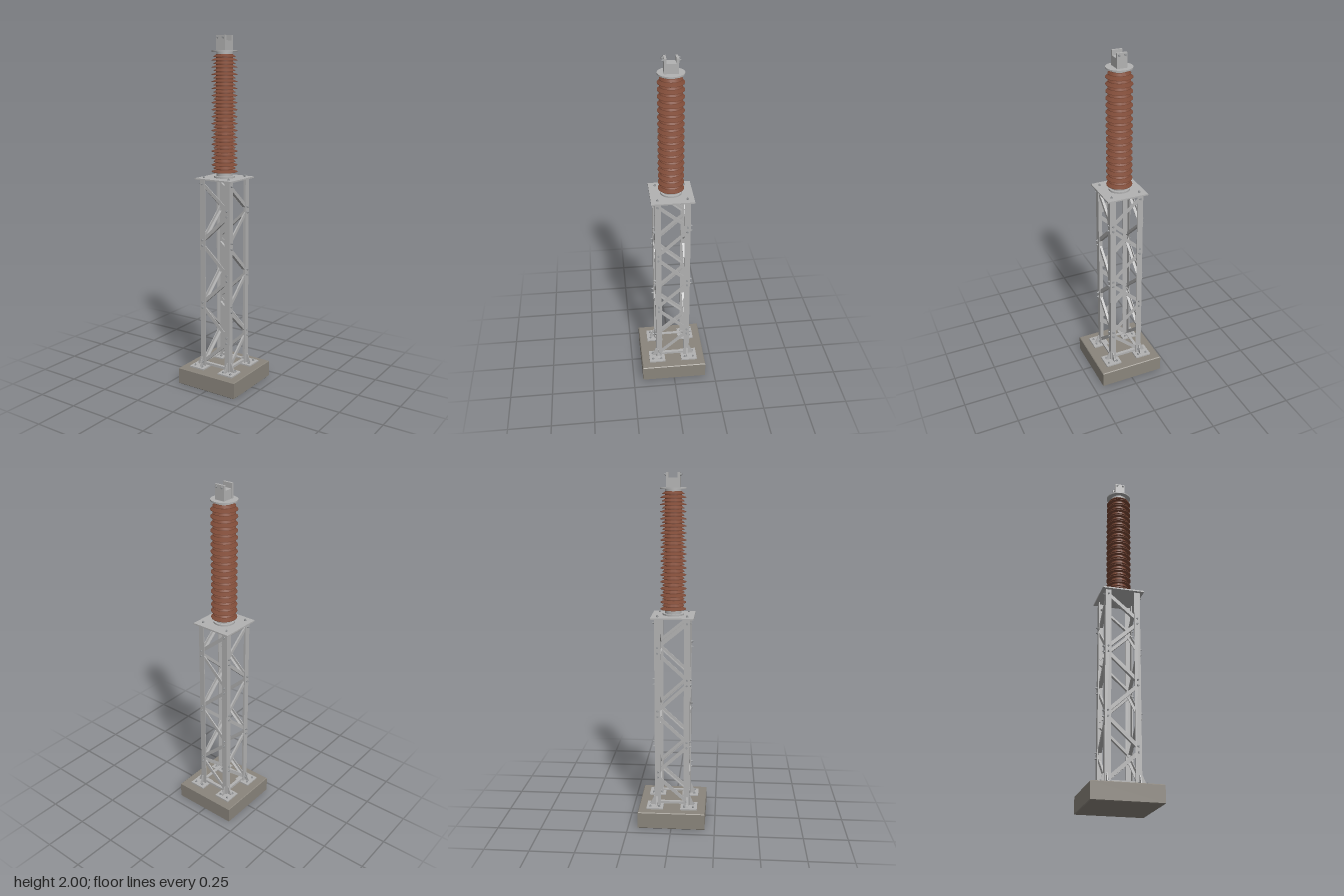
import * as THREE from 'three';
import { toCreasedNormals } from 'three/addons/utils/BufferGeometryUtils.js';

const mat = (name, color) => {
  const m = new THREE.MeshStandardMaterial({ color });
  m.name = name;
  return m;
};

export function createModel() {
  const steel = mat('galvanised steel', 0xb2b2b2);
  const boltSteel = mat('bolt steel', 0x9a9c9e);
  const concrete = mat('concrete', 0x8a857c);
  const porcelain = mat('brown porcelain', 0x7d4a37);
  const model = new THREE.Group();

  const add = (parent, name, geo, material, x = 0, y = 0, z = 0) => {
    const m = new THREE.Mesh(geo, material);
    m.name = name;
    m.position.set(x, y, z);
    parent.add(m);
    return m;
  };
  const box = (parent, name, w, h, d, x, y, z, material = steel) =>
    add(parent, name, new THREE.BoxGeometry(w, h, d), material, x, y, z);
  const cyl = (parent, name, r, y0, y1, material = steel) =>
    add(parent, name, new THREE.CylinderGeometry(r, r, y1 - y0, 40), material, 0, (y0 + y1) / 2, 0);
  const group = (parent, name) => {
    const g = new THREE.Group();
    g.name = name;
    parent.add(g);
    return g;
  };

  // Hex head with a short stud end, pointing along +y
  const headGeo = toCreasedNormals(new THREE.CylinderGeometry(0.0065, 0.0065, 0.006, 6), 0.5);
  const studGeo = new THREE.CylinderGeometry(0.0035, 0.0035, 0.012, 10);
  const bolt = (parent, x, y, z, rx = 0) => {
    const g = group(parent, 'bolt');
    add(g, 'boltHead', headGeo, boltSteel, 0, 0.003, 0);
    add(g, 'boltStud', studGeo, boltSteel, 0, 0.005, 0);
    g.position.set(x, y, z);
    g.rotation.x = rx;
  };

  // Concrete footing with chamfered edges
  const B = 0.189;
  const square = new THREE.Shape([[-B, -B], [B, -B], [B, B], [-B, B]].map(p => new THREE.Vector2(...p)));
  const footing = new THREE.ExtrudeGeometry(square, {
    depth: 0.09, bevelEnabled: true, bevelSize: 0.004, bevelThickness: 0.004, bevelSegments: 1
  });
  footing.rotateX(-Math.PI / 2);
  add(model, 'footing', footing, concrete, 0, 0.004, 0);

  // Four corner legs with base plates, stiffener fins and anchor bolts
  const H = 0.1, W = 0.034, T = 0.005, legBottom = 0.106, legTop = 1.214;
  const finShape = new THREE.Shape([[0, 0], [0.026, 0], [0.026, 0.008], [0.006, 0.054], [0, 0.054]]
    .map(p => new THREE.Vector2(...p)));
  const finGeo = new THREE.ExtrudeGeometry(finShape, { depth: 0.005, bevelEnabled: false });
  finGeo.translate(0, 0, -0.0025);
  for (const sx of [-1, 1]) for (const sz of [-1, 1]) {
    const corner = group(model, 'cornerLeg');
    const len = legTop - legBottom, mid = (legTop + legBottom) / 2;
    box(corner, 'legFlangeZ', W, len, T, sx * (H - W / 2), mid, sz * (H - T / 2));
    box(corner, 'legFlangeX', T, len, W - T, sx * (H - T / 2), mid, sz * (H - T - (W - T) / 2));
    box(corner, 'basePlate', 0.096, 0.008, 0.096, sx * 0.098, 0.102, sz * 0.098);
    for (const bx of [0.073, 0.124]) for (const bz of [0.073, 0.124])
      bolt(corner, sx * bx, 0.106, sz * bz);
    const finX = add(corner, 'finX', finGeo, steel, sx * H, legBottom, sz * 0.088);
    finX.rotation.y = sx > 0 ? 0 : Math.PI;
    const finZ = add(corner, 'finZ', finGeo, steel, sx * 0.088, legBottom, sz * H);
    finZ.rotation.y = sz > 0 ? -Math.PI / 2 : Math.PI / 2;
    bolt(model, sx * 0.083, 1.222, sz * 0.083);
  }

  // Zigzag angle bracing on each face
  const nodes = [1.205, 1.035, 0.85, 0.665, 0.48, 0.295, 0.115];
  const bracedFace = (turn, mirror) => {
    const face = group(model, 'bracedFace');
    face.rotation.y = turn;
    for (let i = 0; i < 6; i++) {
      const s = (i % 2 ? 1 : -1) * mirror, x = 0.083;
      const y0 = nodes[i] - 0.016, y1 = nodes[i + 1] + 0.016;
      const brace = group(face, 'diagonalBrace');
      brace.position.set(0, (y0 + y1) / 2, 0);
      brace.rotation.z = Math.atan2(y1 - y0, -2 * s * x) + (s > 0 ? Math.PI : 0);
      const len = Math.hypot(y1 - y0, 2 * x) + 0.012;
      box(brace, 'braceFlat', len, 0.02, 0.004, 0, 0, H - T - 0.002);
      box(brace, 'braceLip', len - 0.03, 0.004, 0.016, 0, -0.008, H - T - 0.012);
      bolt(face, s * x, y0, H, Math.PI / 2);
      bolt(face, -s * x, y1, H, Math.PI / 2);
    }
    box(face, 'bottomRail', 0.17, 0.014, 0.004, 0, 0.121, H - T - 0.002);
    box(face, 'bottomRailLip', 0.14, 0.004, 0.014, 0, 0.126, H - T - 0.011);
  };
  bracedFace(0, 1);
  bracedFace(Math.PI, -1);
  bracedFace(Math.PI / 2, 1);
  bracedFace(-Math.PI / 2, -1);

  // Mounting plate and lower fitting
  box(model, 'mountingPlate', 0.24, 0.008, 0.24, 0, 1.218, 0);
  cyl(model, 'lowerFlange', 0.06, 1.222, 1.232);
  cyl(model, 'lowerCap', 0.046, 1.232, 1.256);

  // Ribbed insulator: alternating large and small sheds
  const y0 = 1.25, y1 = 1.9, count = 34, step = (y1 - y0) / count, core = 0.046;
  const profile = [new THREE.Vector2(0, y0), new THREE.Vector2(core, y0)];
  for (let i = 0; i < count; i++) {
    const r = i % 2 ? 0.061 : 0.072, y = y0 + i * step;
    profile.push(new THREE.Vector2(core, y + step * 0.3), new THREE.Vector2(r, y + step * 0.2),
      new THREE.Vector2(r, y + step * 0.34), new THREE.Vector2(core, y + step * 0.9));
  }
  profile.push(new THREE.Vector2(core, y1), new THREE.Vector2(0, y1));
  add(model, 'insulator', toCreasedNormals(new THREE.LatheGeometry(profile, 40), 0.4), porcelain);

  // Upper fitting
  cyl(model, 'upperCap', 0.045, 1.896, 1.912);
  cyl(model, 'upperFlange', 0.072, 1.912, 1.92);

  // Terminal clamp: centre block between two bolted cheek plates
  const clamp = group(model, 'terminalClamp');
  box(clamp, 'clampBlock', 0.056, 0.052, 0.052, 0, 1.946, 0);
  for (const s of [-1, 1]) {
    box(clamp, 'cheekPlate', 0.058, 0.08, 0.013, 0, 1.96, s * 0.0315);
    for (const x of [-0.018, 0.018])
      bolt(clamp, x, 1.988, s * 0.038, s * Math.PI / 2);
  }
  return model;
}
